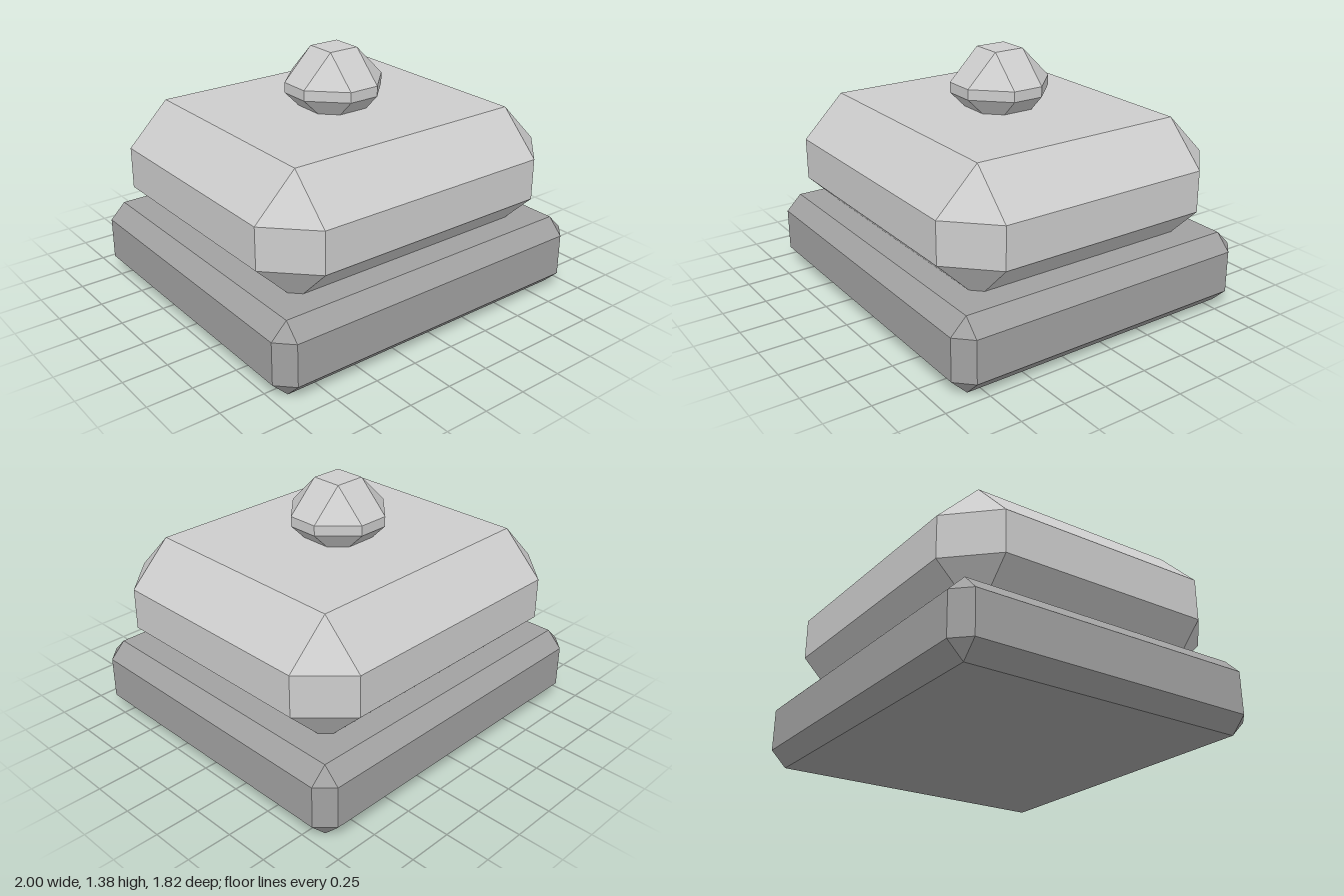
import * as THREE from 'three';
import { ConvexGeometry } from 'three/addons/geometries/ConvexGeometry.js';

// Box with every edge chamfered by c and a triangle at each corner
function chamferBox(hx, hy, hz, c) {
  const points = [];
  for (const sx of [-1, 1]) for (const sy of [-1, 1]) for (const sz of [-1, 1]) {
    points.push(
      new THREE.Vector3(sx * hx, sy * (hy - c), sz * (hz - c)),
      new THREE.Vector3(sx * (hx - c), sy * hy, sz * (hz - c)),
      new THREE.Vector3(sx * (hx - c), sy * (hy - c), sz * hz),
    );
  }
  return new ConvexGeometry(points);
}

export function createModel() {
  const group = new THREE.Group();
  group.name = 'chamferedStack';

  const darkGrey = new THREE.MeshStandardMaterial({ color: 0xa1a1a1 });
  darkGrey.name = 'mid grey';
  const lightGrey = new THREE.MeshStandardMaterial({ color: 0xcccccc });
  lightGrey.name = 'light grey';

  // Each part spans bottom..top; the upper ones sink into the part below
  function addPart(name, hx, hz, bottom, top, chamfer, material) {
    const mesh = new THREE.Mesh(chamferBox(hx, (top - bottom) / 2, hz, chamfer), material);
    mesh.name = name;
    mesh.position.y = (top + bottom) / 2;
    group.add(mesh);
  }

  addPart('base', 1, 0.912, 0, 0.413, 0.088, darkGrey);
  addPart('body', 0.94, 0.853, 0.357, 1.06, 0.235, lightGrey);
  addPart('knob', 0.265, 0.265, 0.975, 1.385, 0.176, lightGrey);

  return group;
}
